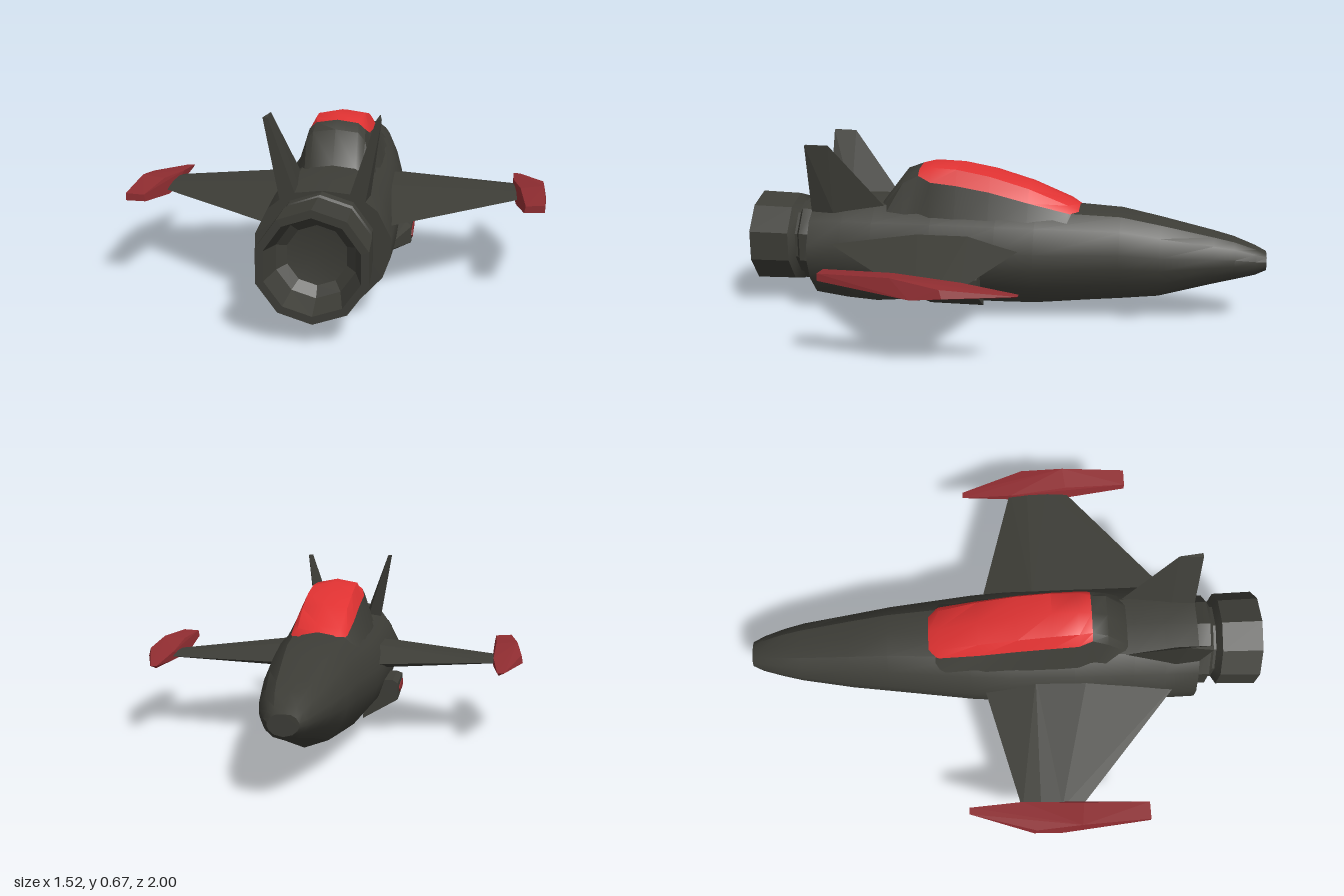
import * as THREE from 'three';
import { toCreasedNormals } from 'three/addons/utils/BufferGeometryUtils.js';
import { ConvexGeometry } from 'three/addons/geometries/ConvexGeometry.js';

const material = (name, color, side = THREE.FrontSide) => {
  const m = new THREE.MeshStandardMaterial({ color, side });
  m.name = name;
  return m;
};

// Skins a list of cross-sections; each row is an array of [x, y, z]
function loft(rows, closed, crease) {
  const n = rows[0].length, index = [];
  for (let i = 0; i < rows.length - 1; i++) {
    for (let j = 0; j < (closed ? n : n - 1); j++) {
      const k = (j + 1) % n;
      const a = i * n + j, b = i * n + k, c = b + n, d = a + n;
      index.push(a, d, c, a, c, b);
    }
  }
  if (closed) {
    const last = (rows.length - 1) * n;
    for (let j = 1; j < n - 1; j++) {
      index.push(0, j, j + 1, last, last + j + 1, last + j);
    }
  }
  const g = new THREE.BufferGeometry();
  g.setAttribute('position', new THREE.Float32BufferAttribute(rows.flat(2), 3));
  g.setIndex(index);
  return toCreasedNormals(g, crease);
}

const hull = (points) => new ConvexGeometry(points.map((p) => new THREE.Vector3(...p)));

export function createModel() {
  const model = new THREE.Group();
  model.name = 'starfighter';
  const dark = material('dark hull', 0x3d3d37);
  const darkSkin = dark.clone();
  darkSkin.side = THREE.DoubleSide;
  dark.side = THREE.DoubleSide;
  const glass = material('red glass', 0xe03232, THREE.DoubleSide);
  const maroon = material('maroon trim', 0x902d31);

  const add = (name, geometry, mat) => {
    const mesh = new THREE.Mesh(geometry, mat);
    mesh.name = name;
    model.add(mesh);
    return mesh;
  };
  // One convex part on each side; points are given for the +x side
  const addPair = (name, points, mat) => {
    add('left' + name, hull(points), mat);
    add('right' + name, hull(points.map(([x, y, z]) => [-x, y, z])), mat);
  };

  // Fuselage: one faceted ring scaled along z [z, half width, bottom, top]
  const half = [[0.5, 0.97], [0.8, 0.84], [1, 0.62], [1, 0.46], [0.88, 0.28], [0.56, 0.09]];
  const ring = [[0, 1], ...half, [0, 0], ...half.map(([x, t]) => [-x, t]).reverse()];
  const stations = [
    [-1, 0.05, 0.21, 0.28], [-0.96, 0.07, 0.19, 0.3], [-0.88, 0.095, 0.167, 0.33],
    [-0.8, 0.115, 0.145, 0.35], [-0.6, 0.147, 0.083, 0.395], [-0.45, 0.168, 0.065, 0.425],
    [-0.13, 0.208, 0.032, 0.44], [0.02, 0.22, 0.03, 0.442], [0.27, 0.225, 0.03, 0.442],
    [0.5, 0.226, 0.006, 0.445], [0.62, 0.226, 0.014, 0.445], [0.75, 0.224, 0.033, 0.435],
  ];
  add('fuselage', loft(stations.map(([z, w, b, t]) =>
    ring.map(([x, k]) => [x * w, b + (t - b) * k, z])), true, 0.5), dark);

  // Cockpit hump [z, edge x, edge y, shoulder x, shoulder y, top y]
  const hump = [
    [-0.29, 0.085, 0.41, 0.06, 0.43, 0.441], [-0.25, 0.105, 0.425, 0.08, 0.45, 0.46],
    [-0.1, 0.112, 0.46, 0.086, 0.51, 0.525], [0.05, 0.114, 0.497, 0.088, 0.553, 0.566],
    [0.18, 0.114, 0.518, 0.087, 0.576, 0.592], [0.28, 0.112, 0.527, 0.083, 0.58, 0.596],
    [0.33, 0.1, 0.55, 0.075, 0.572, 0.583], [0.39, 0.105, 0.52, 0.08, 0.55, 0.56],
    [0.475, 0.1, 0.42, 0.08, 0.44, 0.45],
  ];
  const arch = ([z, ex, ey, sx, sy, t]) =>
    [[-ex, ey, z], [-sx, sy, z], [0, t, z], [sx, sy, z], [ex, ey, z]];
  const flank = ([z, ex, ey], s) => {
    const edge = [s * ex, ey, z], base = [s * (ex + 0.05), 0.365, z];
    return s > 0 ? [edge, base] : [base, edge];
  };
  add('canopy', loft(hump.slice(0, 7).map(arch), false, 0.9), glass);
  add('canopyRear', loft(hump.slice(6).map(arch), false, 0.6), darkSkin);
  add('leftCockpitSide', loft(hump.map((h) => flank(h, 1)), false, 0.6), darkSkin);
  add('rightCockpitSide', loft(hump.map((h) => flank(h, -1)), false, 0.6), darkSkin);

  // Engine: collar, neck and hollow ten-sided nozzle
  const profile = [
    [0.165, 0.72], [0.175, 0.76], [0.175, 0.8], [0.15, 0.815], [0.15, 0.825], [0.18, 0.845],
    [0.184, 1], [0.158, 1], [0.132, 0.91], [0.1, 0.88], [0, 0.865],
  ].map(([r, z]) => new THREE.Vector2(r, z));
  const engine = new THREE.LatheGeometry(profile, 10);
  engine.rotateX(Math.PI / 2);
  engine.translate(0, 0.26, 0);
  add('engineNozzle', toCreasedNormals(engine, 0.4), dark);

  // Wings, thick at the root and thin at the tip
  addPair('Wing', [
    [0.17, 0.295, -0.085], [0.17, 0.345, 0.12], [0.17, 0.345, 0.32],
    [0.17, 0.25, 0.12], [0.17, 0.25, 0.32], [0.17, 0.295, 0.695],
    [0.67, 0.29, 0.05], [0.67, 0.302, 0.12], [0.67, 0.302, 0.2],
    [0.67, 0.278, 0.12], [0.67, 0.278, 0.2], [0.67, 0.292, 0.27],
  ], dark);

  // Wing-tip pods
  addPair('WingTipPod', [
    [0.655, 0.28, -0.15], [0.68, 0.28, -0.15], [0.66, 0.27, -0.14],
    [0.645, 0.275, 0.05], [0.645, 0.308, 0.05], [0.76, 0.285, 0.09], [0.755, 0.315, 0.1],
    [0.645, 0.272, 0.27], [0.66, 0.335, 0.28], [0.76, 0.275, 0.2], [0.745, 0.344, 0.27],
    [0.66, 0.314, 0.525], [0.665, 0.338, 0.525], [0.73, 0.316, 0.525], [0.73, 0.342, 0.525],
  ], maroon);

  // Canted tail fins
  addPair('TailFin', [
    [0.11, 0.41, 0.45], [0.085, 0.41, 0.66], [0.085, 0.41, 0.75],
    [0.15, 0.4, 0.66], [0.14, 0.4, 0.75],
    [0.18, 0.672, 0.66], [0.174, 0.672, 0.75], [0.191, 0.672, 0.75],
  ], dark);

  // Side intakes with a thin painted stripe
  addPair('Intake', [
    [0.15, 0.21, 0.07], [0.25, 0.208, 0.07], [0.27, 0.195, 0.07], [0.27, 0.13, 0.07], [0.13, 0.05, 0.07],
    [0.15, 0.21, 0.31], [0.25, 0.208, 0.31], [0.27, 0.195, 0.34], [0.27, 0.135, 0.34], [0.13, 0.05, 0.28],
    [0.2, 0.16, 0.45], [0.2, 0.14, 0.45],
  ], dark);
  addPair('IntakeStripe', [
    ...[0.268, 0.274].flatMap((x) => [
      [x, 0.15, 0.15], [x, 0.165, 0.13], [x, 0.172, 0.16],
      [x, 0.176, 0.32], [x, 0.162, 0.335], [x, 0.145, 0.31],
    ]),
  ], maroon);

  return model;
}
